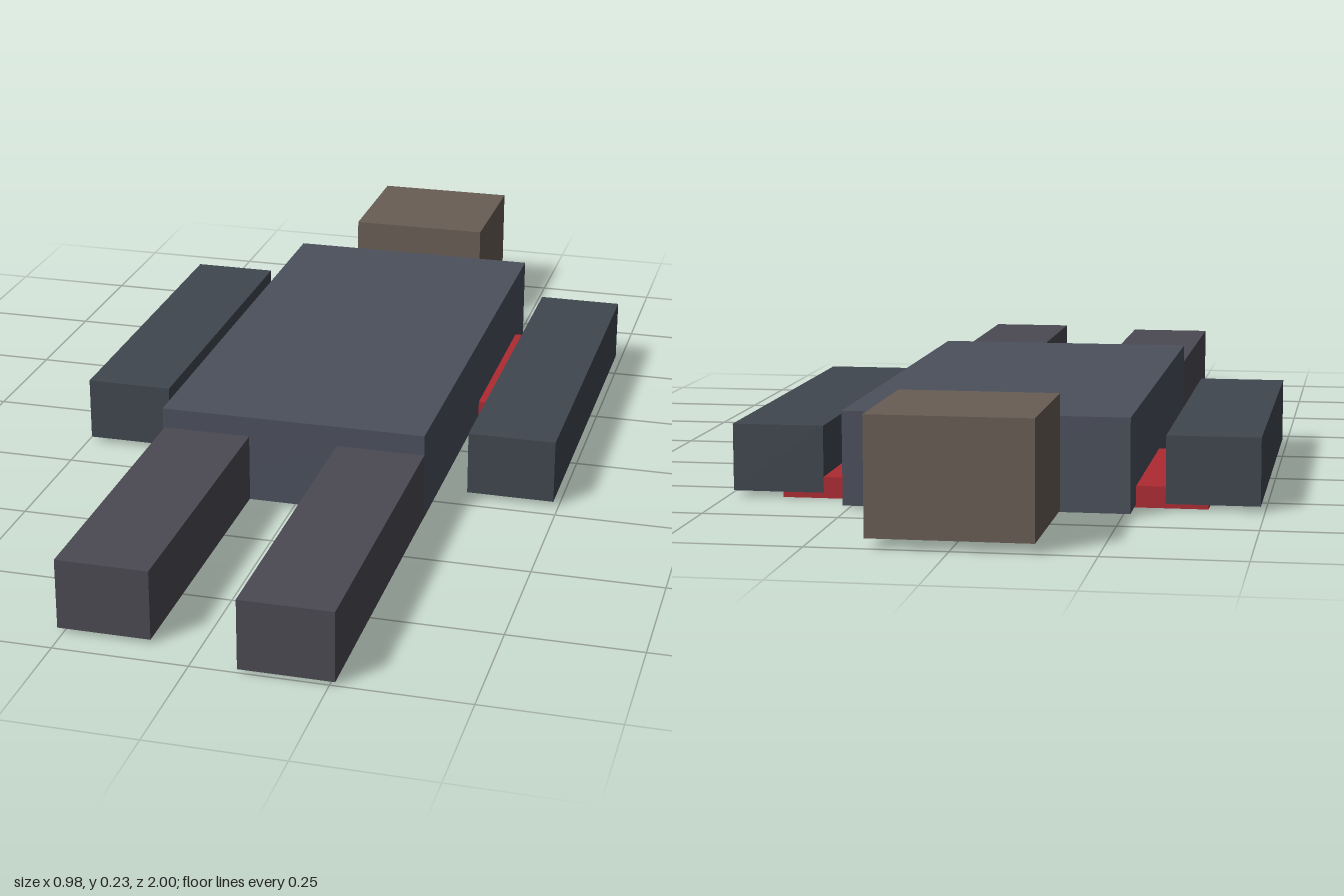
import * as THREE from 'three';

// Axis-aligned block given by its [min, max] extents
function block(name, color, [x0, x1], [y0, y1], [z0, z1]) {
  const mesh = new THREE.Mesh(
    new THREE.BoxGeometry(x1 - x0, y1 - y0, z1 - z0),
    new THREE.MeshStandardMaterial({ color })
  );
  mesh.name = name;
  mesh.position.set((x0 + x1) / 2, (y0 + y1) / 2, (z0 + z1) / 2);
  return mesh;
}

export function createModel() {
  const group = new THREE.Group();
  group.name = 'lyingFigure';
  const cloth = 0x4b505c, sleeve = 0x40464f, trousers = 0x4b4952, skin = 0x695d55, red = 0xae2a32;

  // Head and torso, lying on the back with the head towards -z
  group.add(block('head', skin, [-0.145, 0.145], [0.018, 0.228], [-1, -0.715]));
  group.add(block('torso', cloth, [-0.265, 0.26], [0.006, 0.18], [-0.67, 0.345]));

  // Arms, the left one reaching a little further down
  group.add(block('leftArm', sleeve, [0.318, 0.49], [0.01, 0.136], [-0.577, 0.213]));
  group.add(block('rightArm', sleeve, [-0.492, -0.32], [0.01, 0.136], [-0.587, 0.148]));

  // Legs, the left one longer
  group.add(block('leftLeg', trousers, [0.087, 0.26], [0.007, 0.14], [0.33, 1]));
  group.add(block('rightLeg', trousers, [-0.262, -0.089], [0.007, 0.14], [0.33, 0.94]));

  // Red slab under the shoulders
  group.add(block('redSlab', red, [-0.397, 0.395], [0, 0.04], [-0.577, -0.172]));

  return group;
}
